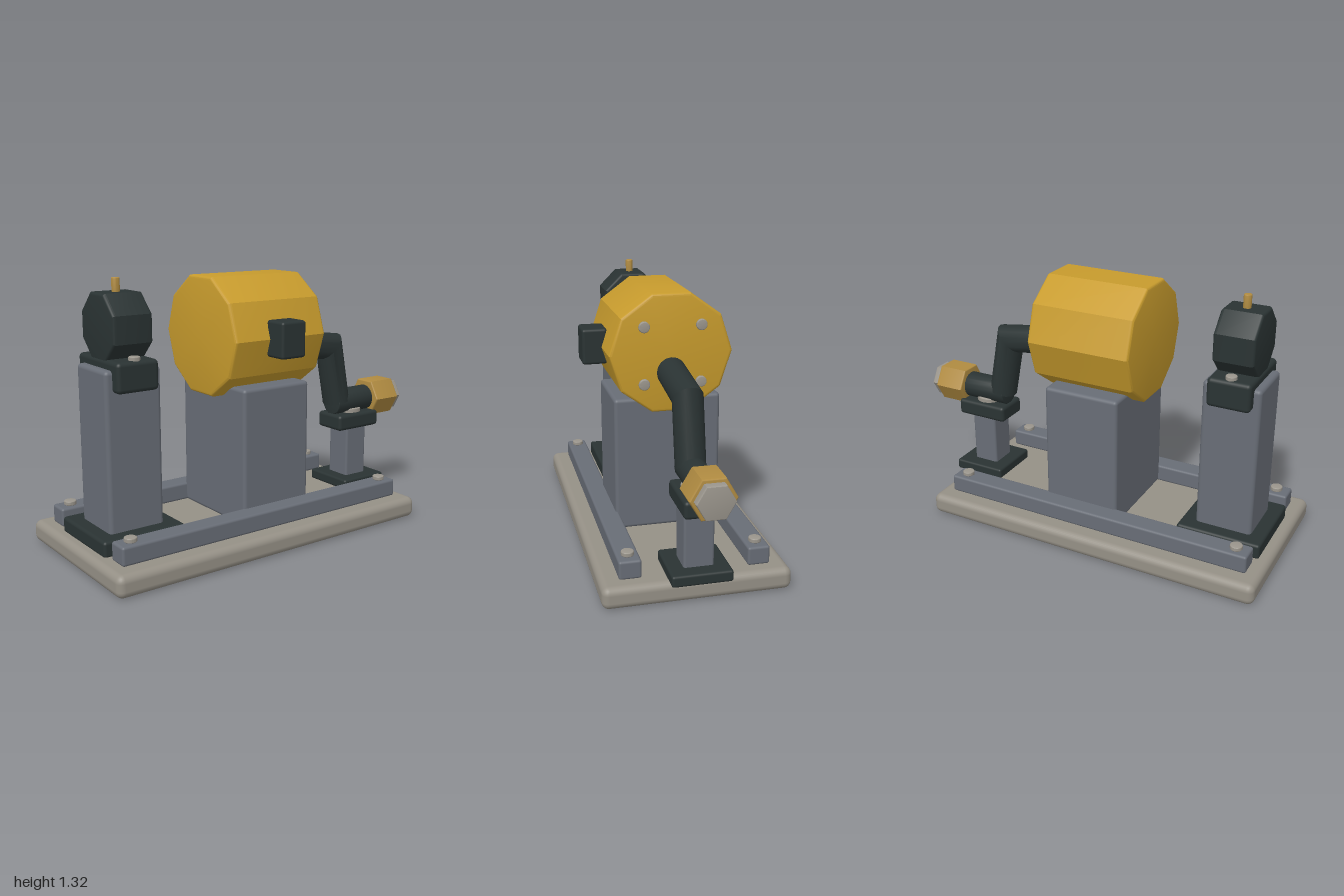
import * as THREE from 'three';
import { toCreasedNormals } from 'three/addons/utils/BufferGeometryUtils.js';
import { RoundedBoxGeometry } from 'three/addons/geometries/RoundedBoxGeometry.js';

const paint = (name, color) => Object.assign(new THREE.MeshStandardMaterial({ color }), { name });

// Many-sided bar along x, with rounded end edges
function prism(sides, radius, length, bevel, turn = 0) {
  const h = length / 2, steps = 4, half = [];
  for (let i = 0; i <= steps; i++) {
    const t = i / steps * Math.PI / 2;
    half.push([radius - bevel + bevel * Math.cos(t), h - bevel + bevel * Math.sin(t)]);
  }
  half.push([0, h]);
  const profile = [...half.map(([r, y]) => [r, -y]).reverse(), ...half].map(([r, y]) => new THREE.Vector2(r, y));
  const g = new THREE.LatheGeometry(profile, sides, turn).toNonIndexed();
  g.deleteAttribute('normal');
  return toCreasedNormals(g, 0.45).rotateZ(-Math.PI / 2);
}

// Round bar bent in the xy plane, with mitred corners
function bentBar(points, radius, sides) {
  const path = points.map(([x, y]) => new THREE.Vector2(x, y));
  const normals = path.slice(1).map((p, i) => {
    const d = p.clone().sub(path[i]).normalize();
    return new THREE.Vector2(-d.y, d.x);
  });
  const position = [], index = [];
  path.forEach((p, i) => {
    const a = normals[Math.max(i - 1, 0)], b = normals[Math.min(i, normals.length - 1)];
    const m = a.clone().add(b).normalize();
    m.multiplyScalar(radius / m.dot(a));
    for (let j = 0; j < sides; j++) {
      const t = j / sides * Math.PI * 2, c = Math.cos(t);
      position.push(p.x + m.x * c, p.y + m.y * c, radius * Math.sin(t));
    }
  });
  for (let i = 0; i < path.length - 1; i++) {
    for (let j = 0; j < sides; j++) {
      const a = i * sides + j, b = i * sides + (j + 1) % sides;
      index.push(a, b, a + sides, b, b + sides, a + sides);
    }
  }
  // End caps
  const last = (path.length - 1) * sides;
  for (let j = 1; j < sides - 1; j++) {
    index.push(0, j + 1, j, last, last + j, last + j + 1);
  }
  const g = new THREE.BufferGeometry();
  g.setAttribute('position', new THREE.Float32BufferAttribute(position, 3));
  g.setIndex(index);
  return toCreasedNormals(g, 0.6);
}

export function createModel() {
  const model = new THREE.Group();
  model.name = 'benchMachine';

  const stone = paint('warmGrey', 0x959086);
  const slate = paint('slateGrey', 0x686d76);
  const dark = paint('darkIron', 0x2a3333);
  const yellow = paint('yellowPaint', 0xc79b2d);
  const brass = paint('brass', 0xb08b41);
  const steel = paint('steel', 0x9a958c);

  const add = (name, geometry, material, x = 0, y = 0, z = 0) => {
    const mesh = new THREE.Mesh(geometry, material);
    mesh.name = name;
    mesh.position.set(x, y, z);
    model.add(mesh);
    return mesh;
  };
  // Rounded block given by its limits on each axis
  const block = (name, material, [x0, x1], [y0, y1], [z0, z1], radius = 0.015) =>
    add(name, new RoundedBoxGeometry(x1 - x0, y1 - y0, z1 - z0, 3, radius), material,
      (x0 + x1) / 2, (y0 + y1) / 2, (z0 + z1) / 2);
  // Round bolt head or washer standing on y
  const disc = (name, material, radius, height, x, y, z) => {
    const mesh = add(name, prism(20, radius, height, 0.005), material, x, y, z);
    mesh.rotation.z = Math.PI / 2;
    return mesh;
  };

  // Base with a bolted rail on each side
  block('base', stone, [-1, 0.775], [0, 0.107], [-0.443, 0.443], 0.035);
  for (const side of [-1, 1]) {
    block('rail', slate, [-0.93, 0.703], [0.107, 0.197], [side * 0.302 - 0.053, side * 0.302 + 0.053], 0.012);
    for (const x of [-0.862, 0.635]) disc('railBolt', steel, 0.03, 0.022, x, 0.207, side * 0.302);
  }

  // Tall post with its clamp, small wheel and pin
  block('postFoot', dark, [-0.945, -0.522], [0.1, 0.178], [-0.212, 0.212]);
  block('tallPost', slate, [-0.875, -0.593], [0.15, 0.925], [-0.14, 0.14], 0.02);
  block('postClamp', dark, [-0.84, -0.63], [0.825, 0.965], [-0.19, 0.19], 0.02);
  for (const side of [-1, 1]) disc('clampBolt', steel, 0.027, 0.024, -0.735, 0.97, side * 0.152);
  add('smallWheel', prism(8, 0.166, 0.198, 0.016, Math.PI / 8), dark, -0.735, 1.1, 0);
  disc('wheelPin', brass, 0.019, 0.1, -0.735, 1.267, 0);

  // Pedestal and main drum
  block('pedestal', slate, [-0.22, 0.173], [0.105, 0.782], [-0.265, 0.265], 0.018);
  add('drum', prism(10, 0.3, 0.535, 0.016), yellow, -0.0235, 1.015, 0);
  block('controlBox', dark, [-0.095, 0.046], [0.93, 1.105], [0.27, 0.393], 0.014);
  for (const y of [0.878, 1.153]) {
    for (const z of [-0.138, 0.138]) {
      disc('drumBolt', steel, 0.027, 0.018, 0.269, y, z).rotation.z = 0;
    }
  }

  // Crank arm, spindle and hexagonal grip
  add('crankArm', bentBar([[0.235, 0.926], [0.534, 0.884], [0.593, 0.575]], 0.072, 16), dark);
  add('spindle', prism(16, 0.068, 0.26, 0.004), dark, 0.69, 0.572, 0);
  add('hexGrip', prism(6, 0.107, 0.16, 0.008), brass, 0.882, 0.572, 0);
  add('hexTip', prism(6, 0.088, 0.06, 0.006), steel, 0.97, 0.572, 0);

  // Short support under the spindle
  block('supportFoot', dark, [0.545, 0.828], [0.107, 0.162], [-0.142, 0.142], 0.012);
  block('supportPost', slate, [0.615, 0.754], [0.14, 0.44], [-0.071, 0.071], 0.012);
  block('supportSaddle', dark, [0.545, 0.828], [0.425, 0.51], [-0.09, 0.09], 0.018);
  disc('saddleWasher', steel, 0.068, 0.03, 0.685, 0.518, 0);

  return model;
}
